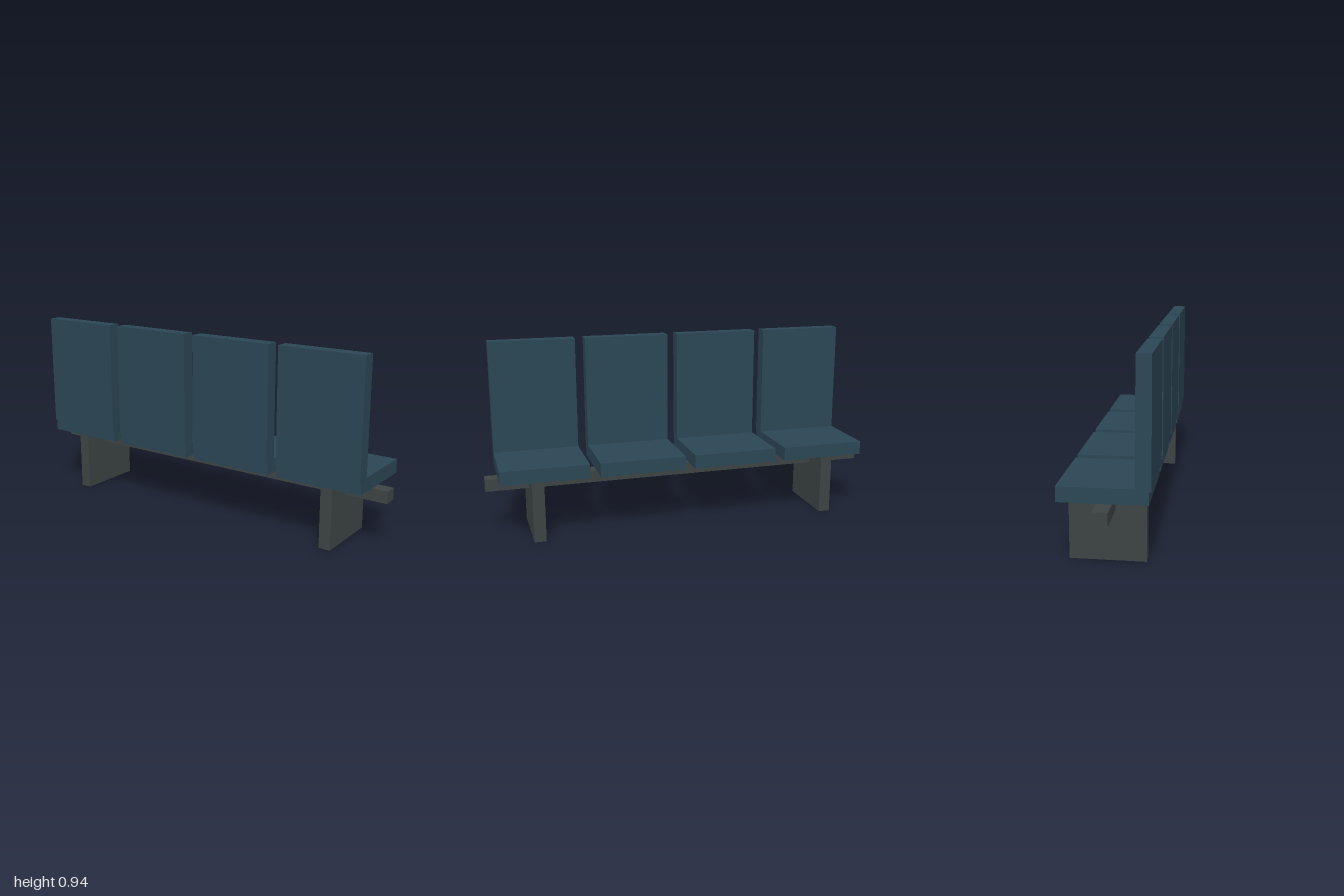
import * as THREE from 'three';

export function createModel() {
  const bench = new THREE.Group();
  bench.name = 'bench';

  const padMaterial = new THREE.MeshStandardMaterial({ color: 0x2b4655 });
  const frameMaterial = new THREE.MeshStandardMaterial({ color: 0x3d4444 });

  // Box given by its x centre and width, and its y and z ranges
  function addBox(parent, name, material, x, width, [y0, y1], [z0, z1]) {
    const mesh = new THREE.Mesh(new THREE.BoxGeometry(width, y1 - y0, z1 - z0), material);
    mesh.position.set(x, (y0 + y1) / 2, (z0 + z1) / 2);
    mesh.name = name;
    parent.add(mesh);
  }

  // Long beam and two slab legs
  addBox(bench, 'beam', frameMaterial, 0, 2, [0.235, 0.295], [-0.038, 0.03]);
  for (const side of [-1, 1]) {
    addBox(bench, side > 0 ? 'leftLeg' : 'rightLeg', frameMaterial,
      side * 0.759, 0.059, [0, 0.312], [-0.177, 0.167]);
  }

  // Four seats in a row, each a cushion and an upright back
  const seatWidth = 0.432, spacing = 0.483;
  for (let i = 0; i < 4; i++) {
    const seat = new THREE.Group();
    seat.name = `seat${i + 1}`;
    seat.position.x = (i - 1.5) * spacing;
    addBox(seat, 'cushion', padMaterial, 0, seatWidth, [0.311, 0.38], [-0.201, 0.192]);
    addBox(seat, 'backrest', padMaterial, 0, seatWidth, [0.37, 0.943], [0.135, 0.202]);
    bench.add(seat);
  }

  return bench;
}
